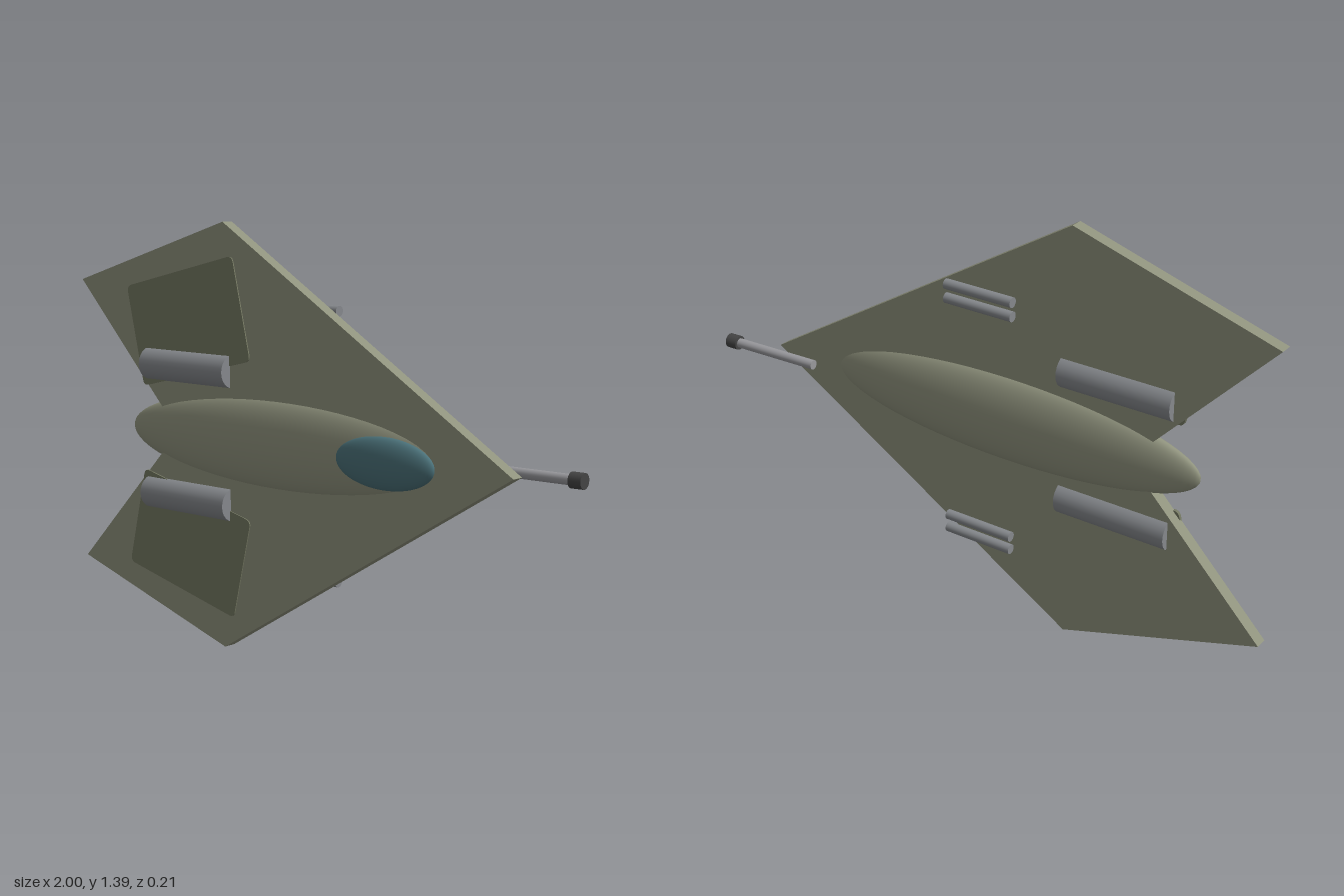
import * as THREE from 'three';

const MID = 0.695; // height of the line of symmetry

const paint = (color) => new THREE.MeshStandardMaterial({ color });

export function createModel() {
  const model = new THREE.Group();
  const hull = paint(0x8f927d), dark = paint(0x747862), metal = paint(0x85888c);
  const glass = paint(0x4a7078), black = paint(0x444444);

  function add(name, geometry, material, x, y, z, rotZ = 0) {
    const mesh = new THREE.Mesh(geometry, material);
    mesh.name = name;
    mesh.position.set(x, y, z);
    mesh.rotation.z = rotZ;
    model.add(mesh);
    return mesh;
  }
  const ellipsoid = (rx, ry, rz) => new THREE.SphereGeometry(1, 48, 32).rotateZ(Math.PI / 2).scale(rx, ry, rz);
  const rod = (radius, length) => new THREE.CylinderGeometry(radius, radius, length, 24).rotateZ(Math.PI / 2);
  const slab = (shape, depth) => new THREE.ExtrudeGeometry(shape, { depth, bevelEnabled: false, curveSegments: 6 });

  // Swept wing plate with a notched trailing edge
  const outline = [[0.835, 0], [-0.315, 0.695], [-1, 0.485], [-0.53, 0], [-1, -0.485], [-0.315, -0.695]];
  const wing = new THREE.Shape(outline.map(([x, y]) => new THREE.Vector2(x, y)));
  add('wing', slab(wing, 0.042), hull, 0, MID, -0.015);

  // Body and canopy
  add('fuselage', ellipsoid(0.683, 0.15, 0.063), hull, -0.083, MID, 0.003);
  add('canopy', ellipsoid(0.188, 0.08, 0.038), glass, 0.393, MID, 0.064);

  // Rounded surface panel
  const w = 0.255, h = 0.17, r = 0.022;
  const panel = new THREE.Shape();
  panel.moveTo(-w + r, -h);
  panel.lineTo(w - r, -h).quadraticCurveTo(w, -h, w, -h + r);
  panel.lineTo(w, h - r).quadraticCurveTo(w, h, w - r, h);
  panel.lineTo(-w + r, h).quadraticCurveTo(-w, h, -w, h - r);
  panel.lineTo(-w, -h + r).quadraticCurveTo(-w, -h, -w + r, -h);

  // Parts mirrored above and below the centre line
  for (const s of [1, -1]) {
    const side = s > 0 ? 'upper' : 'lower';
    add(side + 'Panel', slab(panel, 0.011), dark, -0.48, MID + s * 0.365, 0.02, s * 0.232);
    add(side + 'Engine', rod(0.055, 0.39), metal, -0.48, MID + s * 0.218, 0.012);
    for (const offset of [0.382, 0.428]) {
      add(side + 'Gun', rod(0.0165, 0.245), metal, -0.0225, MID + s * offset, -0.066);
    }
  }

  // Nose probe, tilted slightly backwards
  const tilt = 0.045;
  add('probe', rod(0.016, 0.33), paint(0x98989c), 0.81, MID, -0.075).rotation.y = tilt;
  add('probeTip', rod(0.024, 0.042), black, 0.978, MID, -0.083).rotation.y = tilt;

  return model;
}
